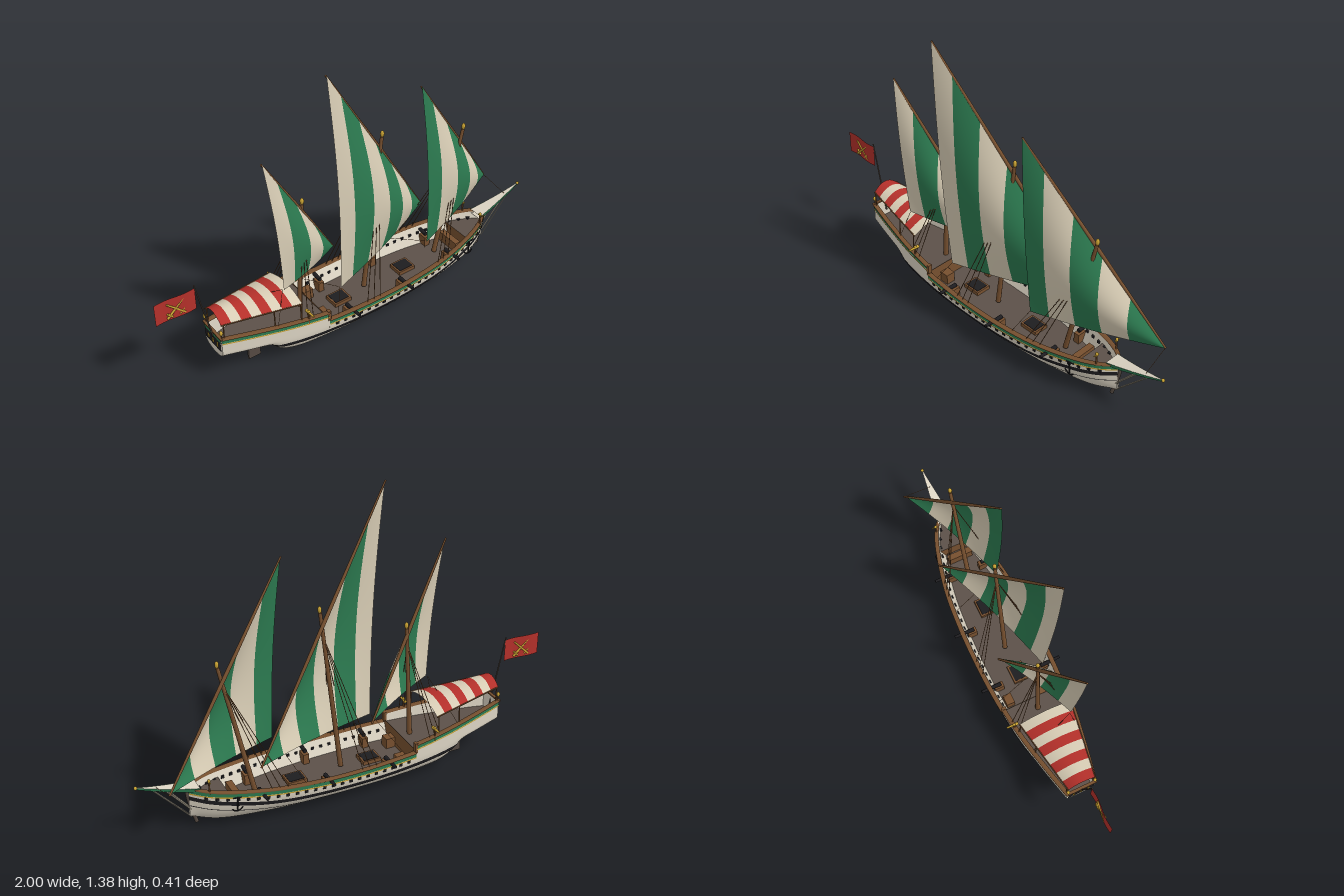
import * as THREE from 'three';

const mat = (name, color) => Object.assign(new THREE.MeshStandardMaterial({ color, side: THREE.DoubleSide }), { name });
const M = {
  cream: mat('cream hull', 0xddd5c4), canvas: mat('canvas', 0xd8cdb5), green: mat('green', 0x2c7a50),
  wood: mat('wood', 0x77502f), deck: mat('deck', 0x5c5149), dark: mat('dark timber', 0x554a42),
  black: mat('black', 0x1e1d20), gold: mat('gold', 0xc9a233), red: mat('red', 0xb4302a),
};
const V = (x, y, z = 0) => new THREE.Vector3(x, y, z);
const { lerp, clamp } = THREE.MathUtils;

// smooth curve y(x) through a few points
const curve = (...p) => x => {
  let i = 0;
  while (i < p.length - 2 && x > p[i + 1][0]) i++;
  const slope = k => {
    const a = p[Math.max(k - 1, 0)], b = p[Math.min(k + 1, p.length - 1)];
    return (b[1] - a[1]) / (b[0] - a[0]);
  };
  const h = p[i + 1][0] - p[i][0], t = clamp((x - p[i][0]) / h, 0, 1), t2 = t * t, t3 = t2 * t;
  return (2 * t3 - 3 * t2 + 1) * p[i][1] + (t3 - 2 * t2 + t) * h * slope(i)
    + (3 * t2 - 2 * t3) * p[i + 1][1] + (t3 - t2) * h * slope(i + 1);
};

// hull lines
const STERN = -0.75, BREAK = -0.26, BOW = 0.765, DECK = 0.09;
const beam = curve([-0.75, 0.07], [-0.6, 0.103], [-0.4, 0.14], [-0.2, 0.16], [0, 0.167], [0.2, 0.163], [0.4, 0.145], [0.6, 0.099], [0.7, 0.058], [0.765, 0.008]);
const bottom = curve([-0.75, 0.145], [-0.62, 0.13], [-0.53, 0.113], [-0.49, 0.06], [-0.44, 0.026], [-0.36, 0.01], [0, 0.008], [0.5, 0.009], [0.65, 0.021], [0.765, 0.06]);
const bilge = curve([-0.75, 0.18], [-0.53, 0.155], [-0.4, 0.14], [0, 0.14], [0.765, 0.17]);
const waistTop = curve([-0.26, 0.168], [0, 0.163], [0.2, 0.165], [0.5, 0.18], [0.765, 0.205]);
const poopTop = curve([-0.75, 0.262], [-0.5, 0.233], [-0.26, 0.21]);
const wale = curve([-0.53, 0.12], [-0.3, 0.105], [0, 0.097], [0.4, 0.107], [0.765, 0.158]);
const hullZ = (x, y) => {
  const t = clamp((y - bottom(x)) / (bilge(x) - bottom(x)), 0, 1);
  return beam(x) * Math.sqrt(1 - Math.pow(1 - t, 2.2));
};

export function createModel() {
  const root = new THREE.Group();
  root.name = 'sailingShip';
  const add = (name, geo, material, parent = root) => {
    const m = new THREE.Mesh(geo, material);
    m.name = name;
    parent.add(m);
    return m;
  };
  // surface from a rule f(u, v) -> Vector3
  const grid = (name, f, nu, nv, material, parent) => {
    const pos = [], idx = [];
    for (let i = 0; i <= nu; i++) for (let j = 0; j <= nv; j++) pos.push(...f(i / nu, j / nv).toArray());
    for (let i = 0; i < nu; i++) for (let j = 0; j < nv; j++) {
      const a = i * (nv + 1) + j, b = a + nv + 1;
      idx.push(a, b, a + 1, b, b + 1, a + 1);
    }
    const g = new THREE.BufferGeometry();
    g.setAttribute('position', new THREE.Float32BufferAttribute(pos, 3));
    g.setIndex(idx);
    g.computeVertexNormals();
    return add(name, g, material, parent);
  };
  const rod = (name, a, b, r0, r1, material, parent, sides = 8) => {
    const d = b.clone().sub(a);
    const m = add(name, new THREE.CylinderGeometry(r1, r0, d.length(), sides), material, parent);
    m.position.copy(a).addScaledVector(d, 0.5);
    m.quaternion.setFromUnitVectors(V(0, 1), d.normalize());
    return m;
  };
  const box = (name, x, y, z, w, h, d, material) => {
    const m = add(name, new THREE.BoxGeometry(w, h, d), material);
    m.position.set(x, y, z);
    return m;
  };
  const ball = (name, p, r, material, stretch = 1) => {
    const m = add(name, new THREE.SphereGeometry(r, 12, 8), material);
    m.position.copy(p);
    m.scale.y = stretch;
  };
  // strip lying on the hull between two heights
  const strip = (name, x0, x1, lo, hi, off, s, material, nv = 2, power = 1) => grid(name, (u, v) => {
    const x = lerp(x0, x1, u), y = lerp(lo(x), hi(x), Math.pow(v, power));
    return V(x, y, s * Math.max(hullZ(x, y) + off, 0));
  }, 48, nv, material);

  // hull shell, bulwarks, painted bands and rails
  for (const s of [1, -1]) {
    for (const [n, x0, x1, top, floor, lean] of [['poop', STERN, BREAK, poopTop, 0.17, 0.014], ['waist', BREAK, BOW, waistTop, DECK, 0.03]]) {
      const down = d => x => top(x) - d;
      strip(n + 'Hull', x0, x1, bottom, top, 0, s, M.cream, 18, 1.8);
      grid(n + 'InnerBulwark', (u, v) => {
        const x = lerp(x0, x1, u);
        return V(x, lerp(floor, top(x), v), s * Math.max(lerp(hullZ(x, floor) - lean, beam(x) - 0.008, v), 0));
      }, 40, 1, M.cream);
      strip(n + 'GreenBand', x0, x1, down(0.021), top, 0.003, s, M.green);
      strip(n + 'GoldLine', x0, x1, down(0.027), down(0.021), 0.004, s, M.gold);
      grid(n + 'Rail', (u, v) => {
        const x = lerp(x0, x1, u), k = [0.008, 0.008, -0.013, -0.013][Math.round(v * 3)];
        return V(x, top(x) + (v > 0.1 && v < 0.9 ? 0.005 : -0.002), s * Math.max(beam(x) + k, 0));
      }, 40, 3, M.wood);
    }
    strip('blackWale', -0.53, BOW, x => wale(x) - 0.01, x => wale(x) + 0.01, 0.003, s, M.black);
    strip('lowerLine', -0.48, BOW, x => wale(x) - 0.041, x => wale(x) - 0.037, 0.002, s, M.black);
    box('breakPost', BREAK, 0.193, s * 0.149, 0.014, 0.05, 0.02, M.wood);
    // ports run through the bulwark
    for (let x = -0.22; x < 0.72; x += 0.042) {
      const y = waistTop(x) - 0.035;
      box('gunPort', x, y, s * (hullZ(x, y) - 0.011), 0.014, 0.012, 0.03, M.black);
    }
    // cannons with carriages
    for (const x of [-0.13, 0.17, 0.47]) {
      const z = beam(x);
      rod('cannon', V(x, 0.152, s * (z - 0.06)), V(x, 0.157, s * (z + 0.038)), 0.01, 0.007, M.black);
      box('carriage', x, 0.115, s * (z - 0.05), 0.028, 0.05, 0.045, M.wood);
    }
    // swivel guns
    for (const [x, y, k] of [[-0.36, 0.258, 1], [0.69, 0.25, 0.5]]) {
      const z = beam(x);
      rod('swivelPost', V(x, y - 0.06, s * z), V(x, y, s * z), 0.004, 0.004, M.wood);
      rod('swivelGun', V(x, y, s * (z - 0.02 * k)), V(x, y + 0.002, s * (z + 0.036 * k)), 0.007 * k + 0.001, 0.004 * k, M.gold);
      ball('swivelYoke', V(x, y + 0.004, s * z), 0.007, M.gold, 1.5);
    }
    // anchor
    const az = hullZ(0.585, 0.13) + 0.007;
    rod('anchorShank', V(0.585, 0.098, s * az), V(0.585, 0.17, s * (az + 0.004)), 0.003, 0.003, M.black);
    rod('anchorStock', V(0.567, 0.164, s * (az + 0.004)), V(0.603, 0.164, s * (az - 0.004)), 0.003, 0.003, M.black);
    const arms = add('anchorArms', new THREE.TorusGeometry(0.026, 0.003, 6, 12, Math.PI * 0.7), M.black);
    arms.position.set(0.585, 0.124, s * az);
    arms.rotation.z = Math.PI * 1.15;
  }

  // decks, bulkhead and stern panel
  const deck = (name, x0, x1, y) => grid(name, (u, v) => {
    const x = lerp(x0, x1, u);
    return V(x, y, (hullZ(x, y) - 0.005) * (2 * v - 1));
  }, 30, 2, M.deck);
  deck('mainDeck', BREAK, 0.75, DECK);
  deck('poopDeck', STERN, BREAK, 0.17);
  deck('foreDeck', 0.6, 0.76, 0.16);
  const crossPanel = (name, x, y0, y1, inset, material) => grid(name, (u, v) => {
    const y = lerp(y0, y1, u);
    return V(x, y, (hullZ(x, y) - inset) * (2 * v - 1));
  }, 12, 2, material);
  crossPanel('poopBulkhead', BREAK, 0.085, 0.178, 0, M.wood);
  crossPanel('foreBulkhead', 0.6, 0.085, 0.16, 0.003, M.wood);
  crossPanel('transom', STERN, 0.145, 0.262, 0, M.cream);
  crossPanel('sternPanel', STERN - 0.003, 0.188, 0.24, 0.006, M.black);
  crossPanel('sternGreenBand', STERN - 0.003, 0.24, 0.262, 0, M.green);
  for (const z of [-0.036, 0, 0.036]) box('sternWindow', STERN - 0.004, 0.214, z, 0.004, 0.022, 0.009, M.gold);
  box('sternRail', STERN, 0.264, 0, 0.014, 0.007, 0.15, M.wood);

  // keel, rudder, stem and beak
  box('keel', 0.085, 0.006, 0, 0.93, 0.012, 0.012, M.dark);
  box('rudder', -0.56, 0.067, 0, 0.06, 0.125, 0.012, M.dark);
  const stem = new THREE.CatmullRomCurve3([V(0.735, 0.022), V(0.752, 0.09), V(0.765, 0.15), V(0.772, 0.212)]);
  add('stemPost', new THREE.TubeGeometry(stem, 16, 0.009, 8), M.dark);
  const beak = (u, z, y) => V(lerp(0.72, 0.985, u), 0.2 + 0.05 * u + 0.02 * u * u + y * (1 - 0.6 * u), z * (1 - 0.95 * u));
  grid('beakTop', (u, v) => beak(u, 0.038 * (2 * v - 1), 0.01), 12, 2, M.cream);
  grid('beakUnderside', (u, v) => beak(u, 0.034 * (2 * v - 1), -0.01), 12, 1, M.cream);
  for (const s of [1, -1]) {
    grid('beakSide', (u, v) => beak(u, s * lerp(0.038, 0.034, v), lerp(0.011, -0.011, v)), 12, 1, M.green);
    rod('beakStay', V(0.92, 0.245, s * 0.006), V(0.76, 0.06, s * 0.008), 0.0018, 0.0018, M.canvas);
    rod('beakBrace', V(0.86, 0.225, s * 0.015), V(0.76, 0.1, s * 0.01), 0.003, 0.003, M.canvas);
  }
  ball('beakFinial', V(0.987, 0.273), 0.008, M.gold);

  // deck fittings
  for (const x of [-0.1, 0.27]) {
    box('hatchCoaming', x, 0.099, 0, 0.09, 0.018, 0.075, M.wood);
    box('hatchGrating', x, 0.107, 0, 0.074, 0.006, 0.06, M.black);
  }
  box('chest', -0.21, 0.115, -0.1, 0.05, 0.05, 0.04, M.wood);
  box('steps', -0.235, 0.115, 0.06, 0.045, 0.05, 0.045, M.wood);
  box('windlass', 0.56, 0.115, 0, 0.03, 0.05, 0.12, M.wood);

  // masts, yards, striped lateen sails and rigging
  const rigs = [
    { n: 'mizzen', foot: V(-0.312, 0.17), head: V(-0.284, 0.72), peak: V(-0.52, 1.07, 0.088), tack: V(-0.07, 0.335, -0.085), clew: V(-0.45, 0.395, 0.085), stripes: 4, first: 0, belly: 0.038 },
    { n: 'main', foot: V(0.043, 0.1), head: V(0.135, 0.89), peak: V(-0.23, 1.375, 0.115), tack: V(0.48, 0.3, -0.135), clew: V(-0.16, 0.262, 0.09), stripes: 6, first: 0, belly: 0.056 },
    { n: 'fore', foot: V(0.462, 0.1), head: V(0.6, 0.745), peak: V(0.265, 1.135, 0.092), tack: V(0.885, 0.29, -0.138), clew: V(0.33, 0.28, 0.085), stripes: 5, first: 1, belly: 0.05 },
  ];
  for (const r of rigs) {
    const g = new THREE.Group();
    g.name = r.n + 'Rig';
    root.add(g);
    rod(r.n + 'Mast', r.foot, r.head, 0.012, 0.008, M.wood, g, 10);
    ball(r.n + 'MastFinial', r.head.clone().add(V(0.002, 0.014)), 0.009, M.gold, 1.8);
    const mid = r.peak.clone().lerp(r.tack, 0.5);
    rod(r.n + 'YardUpper', mid, r.peak, 0.009, 0.004, M.wood, g);
    rod(r.n + 'YardLower', mid, r.tack, 0.009, 0.005, M.wood, g);
    const along = r.tack.clone().sub(r.peak);
    const out = V(-along.z, 0, along.x).normalize();
    // the first stripe is narrower and the last one wider
    const edge = k => (k === 0 ? 0 : k === r.stripes ? 1 : (k - 0.25) / r.stripes);
    for (let k = 0; k < r.stripes; k++) {
      grid(r.n + 'SailStripe', (u, v) => {
        const s = lerp(edge(k), edge(k + 1), u);
        const low = r.clew.clone().lerp(r.tack, s), high = r.peak.clone().lerp(r.tack, s);
        const b = r.belly * (0.4 * (1 - s) + Math.sin(Math.PI * s));
        return low.lerp(high, v).addScaledVector(out, b * (0.9 * Math.sin(Math.PI * v) + 0.25 * (1 - v)) + 0.004);
      }, 6, 20, (k + r.first) % 2 ? M.green : M.canvas, g);
    }
    const top = r.foot.clone().lerp(r.head, 0.85);
    const isMizzen = r.n === 'mizzen';
    for (const s of [1, -1]) {
      for (const dx of [-0.1, -0.065, -0.03]) {
        const x = r.foot.x + dx * (isMizzen ? 0.8 : 1);
        rod('shroud', V(x, (isMizzen ? poopTop : waistTop)(x), s * (beam(x) - 0.004)), top, 0.0017, 0.0017, M.wood, g, 5);
      }
      const sx = r.clew.x - 0.05;
      rod('sheet', r.clew, V(sx, (isMizzen ? poopTop : waistTop)(sx), s * (beam(sx) - 0.005)), 0.001, 0.001, M.wood, g, 5);
    }
  }
  rod('tackLine', rigs[2].tack, V(0.9, 0.25), 0.001, 0.001, M.wood, root, 5);

  // striped awning on posts
  const awningEdge = x => lerp(0.336, 0.306, (x + 0.745) / 0.365);
  const awningHalf = x => lerp(0.066, 0.128, (x + 0.745) / 0.365);
  for (let k = 0; k < 8; k++) {
    grid('awningStripe', (u, v) => {
      const x = -0.745 + 0.365 * (k + u) / 8, w = 2 * v - 1;
      return V(x, awningEdge(x) + 0.034 * (1 - w * w), w * awningHalf(x));
    }, 1, 14, k % 2 ? M.canvas : M.red);
  }
  for (const s of [1, -1]) {
    for (const x of [-0.735, -0.51, -0.39]) rod('awningPost', V(x, 0.17, s * (beam(x) - 0.008)), V(x, awningEdge(x), s * awningHalf(x)), 0.003, 0.003, M.wood);
    rod('awningBar', V(-0.745, 0.336, s * 0.066), V(-0.38, 0.306, s * 0.128), 0.003, 0.003, M.wood);
    rod('sternLanternPost', V(-0.745, 0.26, s * 0.066), V(-0.748, 0.29, s * 0.066), 0.003, 0.003, M.wood);
    ball('sternLantern', V(-0.748, 0.296, s * 0.066), 0.008, M.gold, 1.5);
  }

  // flag on a raked staff
  rod('flagStaff', V(-0.745, 0.2), V(-0.816, 0.55), 0.004, 0.003, M.dark);
  grid('flag', (u, v) => V(lerp(-0.813, -1, u), lerp(0.425, 0.535, v), 0.004 * Math.sin(u * 6.28)), 16, 1, M.red);
  for (const d of [1, -1]) {
    rod('flagCrossedBlade', V(-0.905 - d * 0.04, 0.437), V(-0.905 + d * 0.038, 0.511), 0.006, 0.004, M.gold);
    rod('flagBladeGuard', V(-0.905 - d * 0.039, 0.461), V(-0.905 - d * 0.017, 0.439), 0.005, 0.005, M.gold);
  }
  return root;
}
